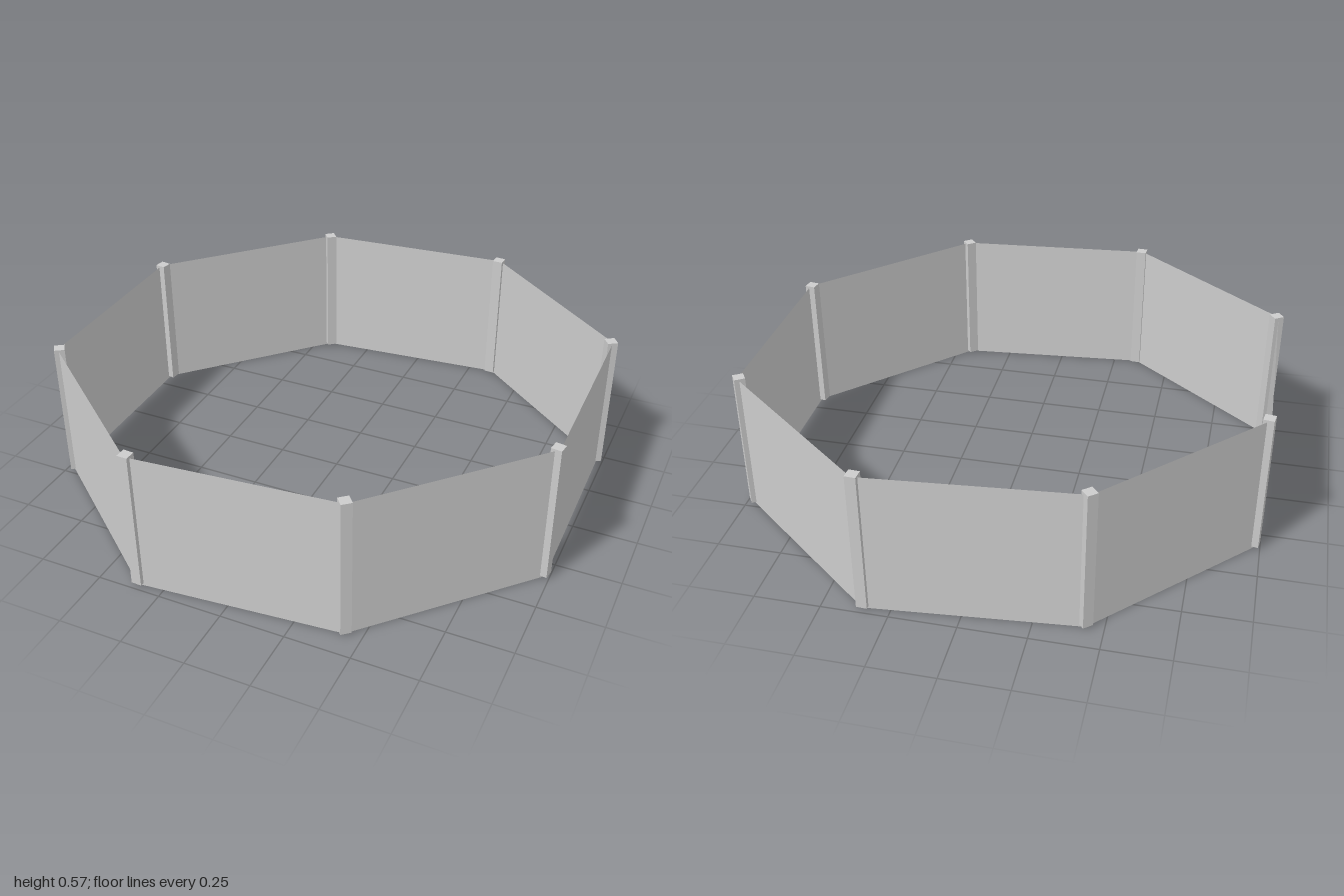
import * as THREE from 'three';

// Half of the ring: post x, z and turn in degrees; the other half is its 180° turn
const HALF = [
  [0.431, 0.893, 40],
  [-0.35, 0.965, -3],
  [-0.968, 0.464, 34],
  [-0.976, -0.322, -9],
];
const WALL_HEIGHT = 0.565;
const POST = { width: 0.041, bottom: 0.01, top: 0.573 };
const WALL_SCALE = 1.008; // panels meet just outside the post centres

export function createModel() {
  const model = new THREE.Group();
  model.name = 'fencedEnclosure';
  const grey = new THREE.MeshStandardMaterial({ color: 0xcccccc, flatShading: true });
  const thin = new THREE.MeshStandardMaterial({
    color: 0xcccccc, flatShading: true, side: THREE.DoubleSide,
  });
  const ring = [...HALF, ...HALF.map(([x, z, turn]) => [-x, -z, turn])];

  const postHeight = POST.top - POST.bottom;
  const postGeometry = new THREE.BoxGeometry(POST.width, postHeight, POST.width);

  ring.forEach(([x, z, turn], i) => {
    // Square corner post
    const post = new THREE.Mesh(postGeometry, grey);
    post.name = `post${i + 1}`;
    post.position.set(x, POST.bottom + postHeight / 2, z);
    post.rotation.y = THREE.MathUtils.degToRad(turn);
    model.add(post);

    // Thin flat panel to the next post
    const [nx, nz] = ring[(i + 1) % ring.length];
    const dx = (nx - x) * WALL_SCALE;
    const dz = (nz - z) * WALL_SCALE;
    const panel = new THREE.Mesh(new THREE.PlaneGeometry(Math.hypot(dx, dz), WALL_HEIGHT), thin);
    panel.name = `panel${i + 1}`;
    panel.position.set((x + nx) / 2 * WALL_SCALE, WALL_HEIGHT / 2, (z + nz) / 2 * WALL_SCALE);
    panel.rotation.y = Math.atan2(dz, -dx); // front faces outwards
    model.add(panel);
  });
  return model;
}
